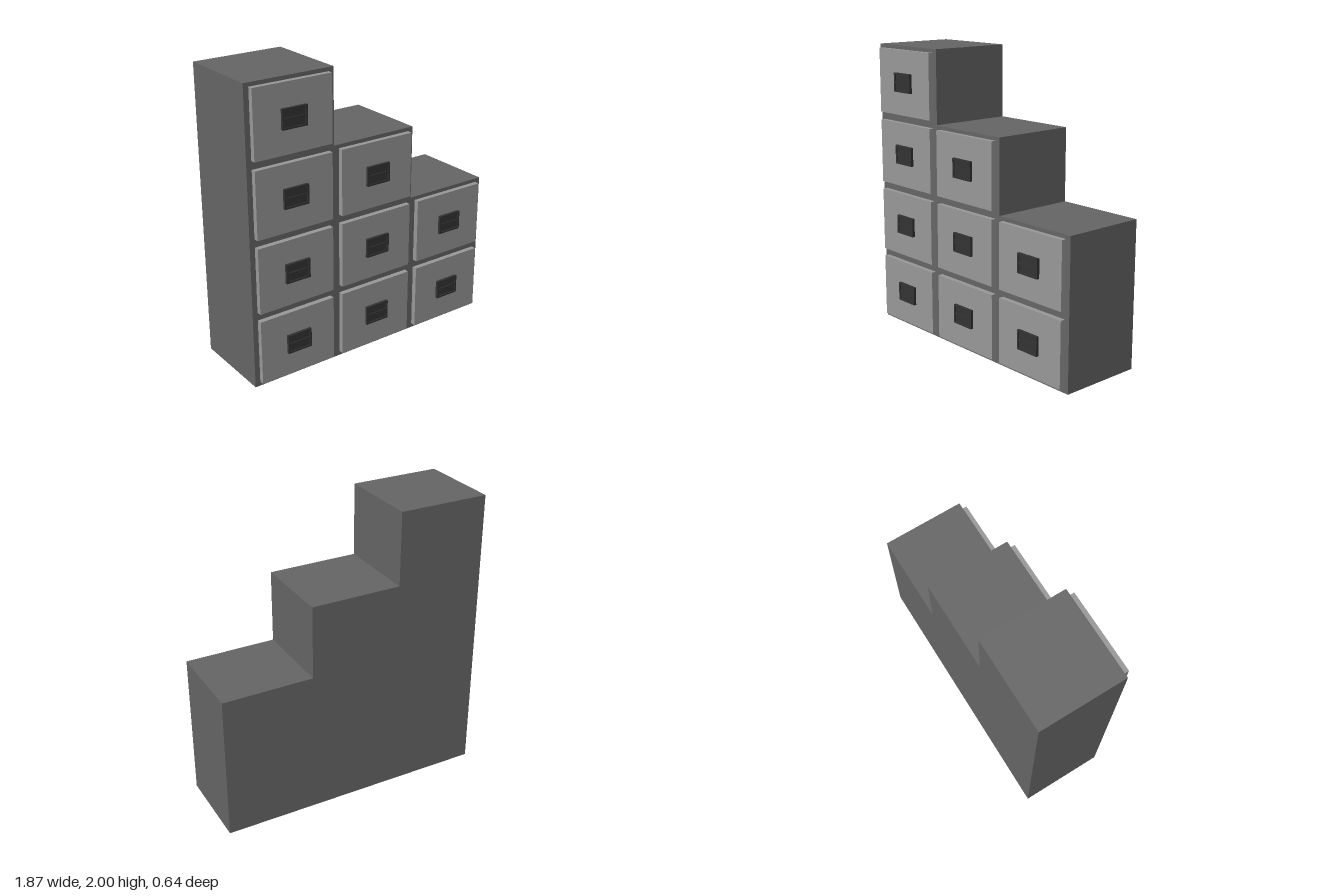
import * as THREE from 'three';

const mat = (name, color) => {
  const m = new THREE.MeshStandardMaterial({ color });
  m.name = name;
  return m;
};

// Closed outline from [x, y] corners
const outline = (points, Type = THREE.Shape) =>
  new Type(points.map(([x, y]) => new THREE.Vector2(x, y)));

const rect = (w, h, y = 0, Type = THREE.Shape) =>
  outline([[-w / 2, y - h / 2], [w / 2, y - h / 2], [w / 2, y + h / 2], [-w / 2, y + h / 2]], Type);

export function createModel() {
  const bodyGrey = mat('bodyGrey', 0x666666);
  const drawerGrey = mat('drawerGrey', 0x999999);
  const handleGrey = mat('handleGrey', 0x333333);

  const model = new THREE.Group();
  model.name = 'steppedDrawerCabinet';
  const add = (parent, name, geometry, material, x, y, z) => {
    const mesh = new THREE.Mesh(geometry, material);
    mesh.name = name;
    mesh.position.set(x, y, z);
    parent.add(mesh);
  };

  const colW = 0.623, rowH = 0.5, back = -0.32, front = 0.265;
  const rows = [4, 3, 2]; // drawers per column, from -x to +x
  const edge = colW * 1.5;

  // Cabinet body: staircase silhouette
  const steps = [[-edge, 0], [edge, 0]];
  for (let c = 2; c >= 0; c--) {
    const x = -edge + c * colW;
    steps.push([x + colW, rows[c] * rowH], [x, rows[c] * rowH]);
  }
  const bodyGeo = new THREE.ExtrudeGeometry(outline(steps), { depth: front - back, bevelEnabled: false });
  add(model, 'cabinetBody', bodyGeo, bodyGrey, 0, 0, back);

  // Handle: frame with two shallow openings over a plate
  const frame = rect(0.176, 0.13);
  frame.holes.push(rect(0.152, 0.046, 0.03, THREE.Path), rect(0.152, 0.046, -0.03, THREE.Path));
  const frameGeo = new THREE.ExtrudeGeometry(frame, { depth: 0.02, bevelEnabled: false });
  const plateGeo = new THREE.BoxGeometry(0.16, 0.114, 0.012);
  const drawerGeo = new THREE.BoxGeometry(0.552, 0.445, 0.035);

  // Drawers
  rows.forEach((count, c) => {
    for (let r = 0; r < count; r++) {
      const drawer = new THREE.Group();
      drawer.name = `drawer${c + 1}_${r + 1}`;
      drawer.position.set((c - 1) * colW, (r + 0.5) * rowH, front);
      add(drawer, 'drawerFront', drawerGeo, drawerGrey, 0, 0.002, 0.0175);
      add(drawer, 'handleFrame', frameGeo, handleGrey, 0, 0.005, 0.034);
      add(drawer, 'handlePlate', plateGeo, handleGrey, 0, 0.005, 0.04);
      model.add(drawer);
    }
  });

  return model;
}
